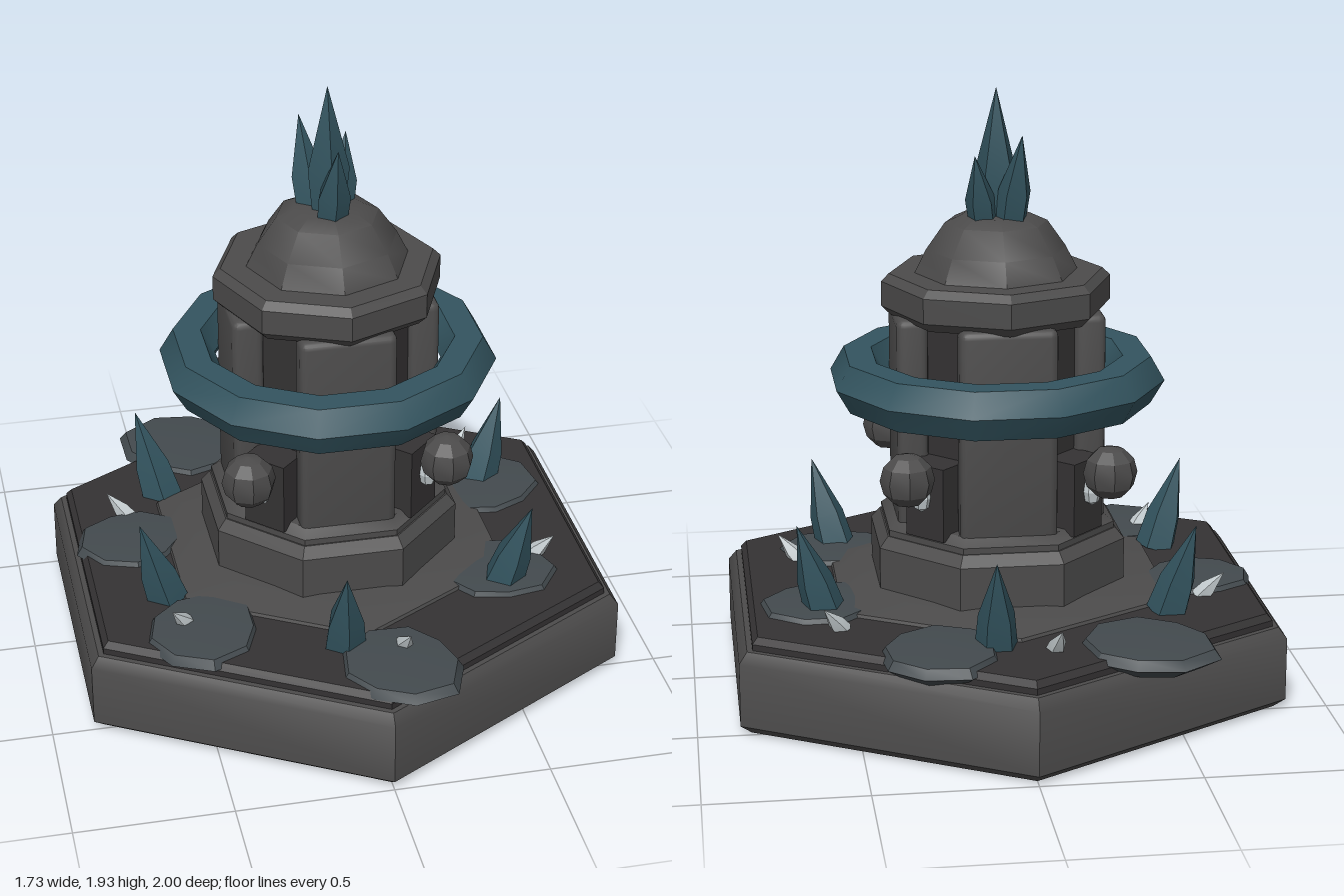
import * as THREE from 'three';
import { RoundedBoxGeometry } from 'three/addons/geometries/RoundedBoxGeometry.js';
import { toCreasedNormals } from 'three/addons/utils/BufferGeometryUtils.js';

const mat = (color) => new THREE.MeshStandardMaterial({ color });
const stone = mat(0x4c4b4b), dark = mat(0x343233), teal = mat(0x33545f);
const slate = mat(0x434a4e), pale = mat(0xc4cccf);

export function createModel() {
  const model = new THREE.Group();

  const add = (name, geometry, material, crease = 0.5) => {
    const mesh = new THREE.Mesh(toCreasedNormals(geometry, crease), material);
    mesh.name = name;
    model.add(mesh);
    return mesh;
  };

  // A faceted solid from [radius, y] pairs, listed bottom to top
  const turned = (points, sides, start = 0) =>
    new THREE.LatheGeometry(points.map(([r, y]) => new THREE.Vector2(r, y)), sides, start);

  // A pointed five-sided shard running from base to tip
  const shard = (name, base, tip, r, material, foot = 1, belly = 0.85) => {
    const from = new THREE.Vector3(...base);
    const dir = new THREE.Vector3(...tip).sub(from);
    const len = dir.length();
    const mesh = add(name, turned([[0, 0], [r * foot, 0], [r * belly, len * 0.38], [0, len]], 5), material);
    mesh.position.copy(from);
    mesh.quaternion.setFromUnitVectors(new THREE.Vector3(0, 1, 0), dir.normalize());
  };

  // Hexagonal base, its dark top plate and the sloping step
  add('base', turned([[0, 0], [0.96, 0], [1, 0.03], [1, 0.235], [0.97, 0.27], [0, 0.27]], 6), stone, 0.7);
  add('groundPlate', turned([[0.95, 0.25], [0.95, 0.29], [0.93, 0.31], [0, 0.31]], 6), dark);
  add('step', turned([[0.62, 0.3], [0.61, 0.32], [0.46, 0.345], [0, 0.345]], 6), stone);

  // Octagonal footing and collar
  const flat = Math.PI / 8;
  add('footing', turned([[0.43, 0.31], [0.43, 0.48], [0.4, 0.515], [0, 0.515]], 8, flat), stone);
  add('collar', turned([[0.395, 0.5], [0.395, 0.535], [0.36, 0.56], [0, 0.56]], 8, flat), stone);

  // Tower core with four wall panels
  add('core', turned([[0.28, 0.5], [0.28, 1.24]], 8, flat), dark);
  for (let i = 0; i < 4; i++) {
    const a = (i * Math.PI) / 2;
    const panel = add('wallPanel', new RoundedBoxGeometry(0.31, 0.69, 0.1, 2, 0.025), stone);
    panel.position.set(Math.sin(a) * 0.285, 0.88, Math.cos(a) * 0.285);
    panel.rotation.y = a;
  }

  // Diagonal niches: bracket, ball and small glowing shard
  for (let i = 0; i < 4; i++) {
    const a = Math.PI / 4 + (i * Math.PI) / 2;
    const s = Math.sin(a), c = Math.cos(a);
    const bracket = add('bracket', new THREE.BoxGeometry(0.15, 0.24, 0.14), dark);
    bracket.position.set(s * 0.3, 0.66, c * 0.3);
    bracket.rotation.y = a;
    const ball = add('ball', new THREE.SphereGeometry(0.087, 8, 6), stone);
    ball.position.set(s * 0.455, 0.755, c * 0.455);
    ball.rotation.y = a;
    const lamp = add('lampShard', new THREE.SphereGeometry(0.032, 6, 4), pale);
    lamp.scale.y = 1.5;
    lamp.position.set(s * 0.385, 0.68, c * 0.385);
  }

  // Floating ring
  const ring = add('ring', new THREE.TorusGeometry(0.455, 0.09, 6, 12).rotateZ(Math.PI / 12), teal, 0.7);
  ring.rotation.x = Math.PI / 2;
  ring.position.y = 1;

  // Crown and roof
  add('crown', turned([[0, 1.21], [0.34, 1.21], [0.37, 1.24], [0.37, 1.32], [0.345, 1.345], [0, 1.345]], 8), stone);
  add('roof', turned([[0.265, 1.34], [0.225, 1.42], [0.165, 1.505], [0.11, 1.53], [0, 1.53]], 8), stone, 0.7);

  // Crystal cluster on the roof
  shard('topCrystal', [0, 1.5, 0], [0, 1.935, 0], 0.07, teal, 0.75, 1);
  shard('topSideCrystal', [-0.04, 1.5, -0.05], [-0.068, 1.8, -0.115], 0.06, teal, 0.85, 0.9);
  shard('topSideCrystal', [0.045, 1.5, -0.04], [0.08, 1.735, -0.1], 0.055, teal, 0.85, 0.9);
  shard('topSideCrystal', [0, 1.5, 0.055], [0.01, 1.765, 0.115], 0.06, teal, 0.85, 0.9);

  // Six crystals and six pale shards around the base
  for (let i = 0; i < 6; i++) {
    const a = -0.125 + (i * Math.PI) / 3;
    const s = Math.sin(a), c = Math.cos(a);
    shard('groundCrystal', [s * 0.63, 0.3, c * 0.63], [s * 0.725, 0.605, c * 0.725], 0.07, teal);
    const b = a + 0.265;
    const u = Math.sin(b), v = Math.cos(b);
    shard('paleShard', [u * 0.68, 0.3, v * 0.68], [u * 0.76, 0.39, v * 0.76], 0.03, pale, 1, 0.9);
  }

  // Uneven flat slabs: [x, z, radius]
  const slabs = [
    [-0.385, -0.68, 0.215], [0.255, -0.665, 0.2], [0.59, -0.2, 0.2], [0.5, 0.33, 0.19],
    [0.07, 0.78, 0.2], [-0.5, 0.47, 0.195], [-0.65, -0.1, 0.18],
  ];
  slabs.forEach(([x, z, r], i) => {
    const g = turned([[0, 0.255], [r * 0.7, 0.255], [r, 0.295], [r * 0.9, 0.325], [0, 0.335]], 9);
    const p = g.attributes.position;
    for (let k = 0; k < p.count; k++) {
      const a = Math.atan2(p.getX(k), p.getZ(k));
      const f = 1 + 0.07 * Math.sin(2 * a + i * 1.7) + 0.04 * Math.cos(3 * a + i);
      p.setXYZ(k, p.getX(k) * f, p.getY(k), p.getZ(k) * f);
    }
    add('slab', g, slate, 0.6).position.set(x, 0, z);
  });

  return model;
}
